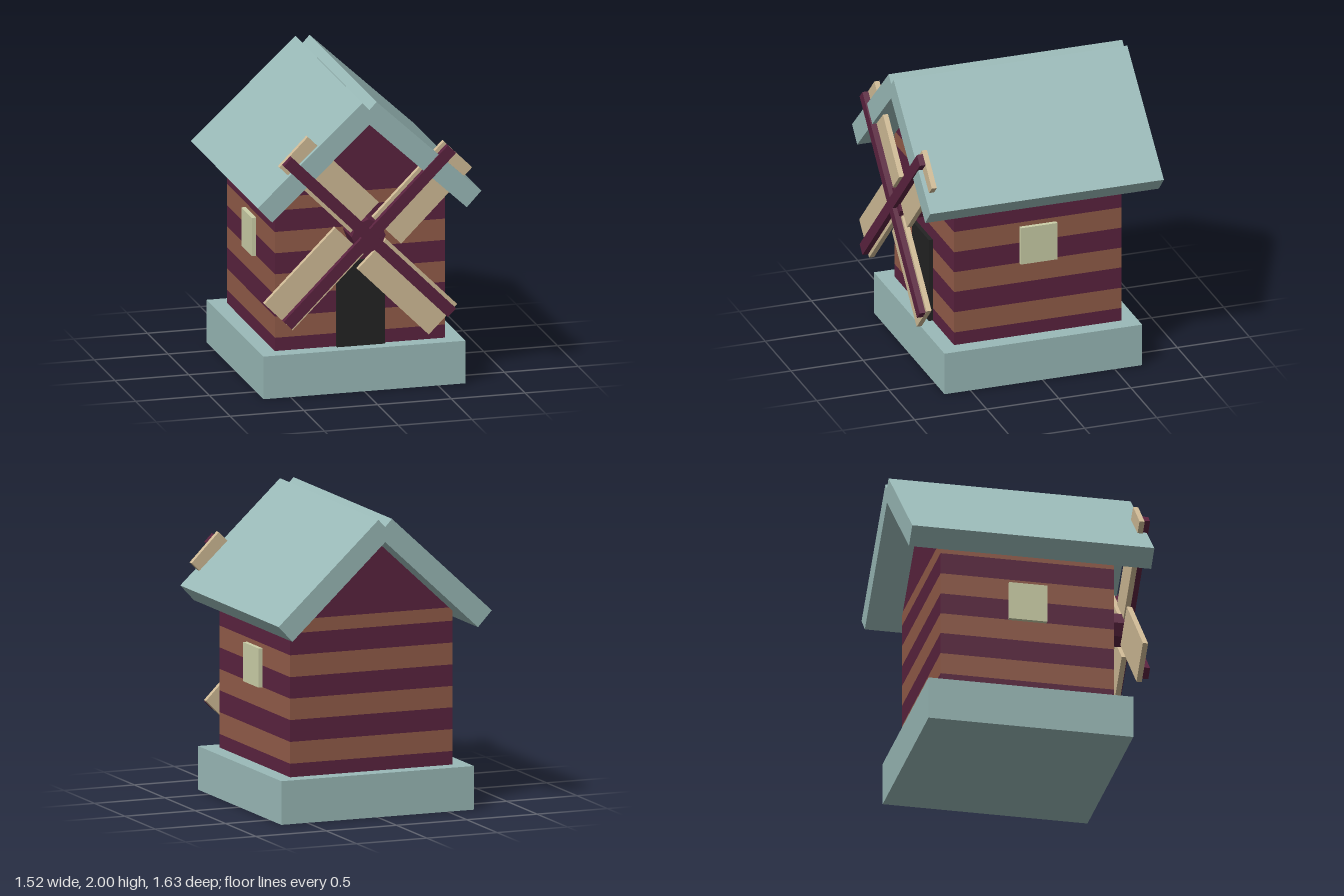
import * as THREE from 'three';

const mat = (name, color) => {
  const m = new THREE.MeshStandardMaterial({ color });
  m.name = name;
  return m;
};

export function createModel() {
  const teal = mat('teal', 0x9abab8);
  const maroon = mat('maroon', 0x5b233f);
  const brown = mat('brown', 0x925c49);
  const tan = mat('tan', 0xd0bb96);
  const cream = mat('cream', 0xcccfa8);
  const black = mat('black', 0x232323);

  const model = new THREE.Group();
  model.name = 'windmill';
  const zMid = -0.005;

  const add = (parent, name, geometry, material, x = 0, y = 0, z = 0) => {
    const mesh = new THREE.Mesh(geometry, material);
    mesh.name = name;
    mesh.position.set(x, y, z);
    parent.add(mesh);
    return mesh;
  };
  // Box given by its minimum and maximum corners
  const box = (parent, name, material, [x0, y0, z0], [x1, y1, z1]) =>
    add(parent, name, new THREE.BoxGeometry(x1 - x0, y1 - y0, z1 - z0), material,
      (x0 + x1) / 2, (y0 + y1) / 2, (z0 + z1) / 2);
  // Front outline drawn out along z, centred on the house
  const prism = (parent, name, material, points, depth) => {
    const shape = new THREE.Shape(points.map(([x, y]) => new THREE.Vector2(x, y)));
    const geometry = new THREE.ExtrudeGeometry(shape, { depth, bevelEnabled: false });
    return add(parent, name, geometry, material, 0, 0, zMid - depth / 2);
  };

  // Plinth
  box(model, 'base', teal, [-0.685, 0, zMid - 0.685], [0.685, 0.29, zMid + 0.685]);

  // Striped walls
  const walls = new THREE.Group();
  walls.name = 'walls';
  model.add(walls);
  const levels = [0.29, 0.38, 0.525, 0.67, 0.812, 0.955, 1.1, 1.245, 1.335];
  for (let i = 0; i < levels.length - 1; i++) {
    box(walls, 'wallStripe', i % 2 ? brown : maroon,
      [-0.577, levels[i], zMid - 0.58], [0.577, levels[i + 1], zMid + 0.58]);
  }
  prism(walls, 'gable', maroon, [[-0.56, 1.335], [0.56, 1.335], [0, 1.85]], 1.16);

  // Two crossing roof slabs, leaving a notch along the ridge
  for (const s of [1, -1]) {
    prism(model, s > 0 ? 'roofLeft' : 'roofRight', teal,
      [[s * 0.048, 2], [s * 0.758, 1.34], [s * 0.66, 1.235], [s * -0.05, 1.895]], 1.62);
  }

  // Door and side windows
  box(model, 'door', black, [-0.163, 0.29, 0.56], [0.163, 0.87, 0.602]);
  for (const s of [1, -1]) {
    add(model, s > 0 ? 'windowLeft' : 'windowRight', new THREE.BoxGeometry(0.04, 0.26, 0.255),
      cream, s * 0.586, 0.94, zMid);
  }

  // Rotor: octagonal axle, two crossed spars, four offset sails
  const rotor = new THREE.Group();
  rotor.name = 'rotor';
  rotor.position.y = 1.085;
  model.add(rotor);
  const axle = new THREE.CylinderGeometry(0.115, 0.115, 0.22, 8).toNonIndexed();
  axle.computeVertexNormals();
  add(rotor, 'axle', axle.rotateX(Math.PI / 2), maroon, 0, 0, 0.675);
  for (let i = 0; i < 4; i++) {
    const blade = new THREE.Group();
    blade.name = 'blade';
    blade.rotation.z = Math.PI / 4 + i * Math.PI / 2;
    rotor.add(blade);
    if (i < 2) box(blade, 'spar', maroon, [-0.787, -0.039, 0.775], [0.787, 0.039, 0.815]);
    box(blade, 'sail', tan, [0.107, -0.208, 0.74], [0.788, 0.064, 0.775]);
  }

  return model;
}
